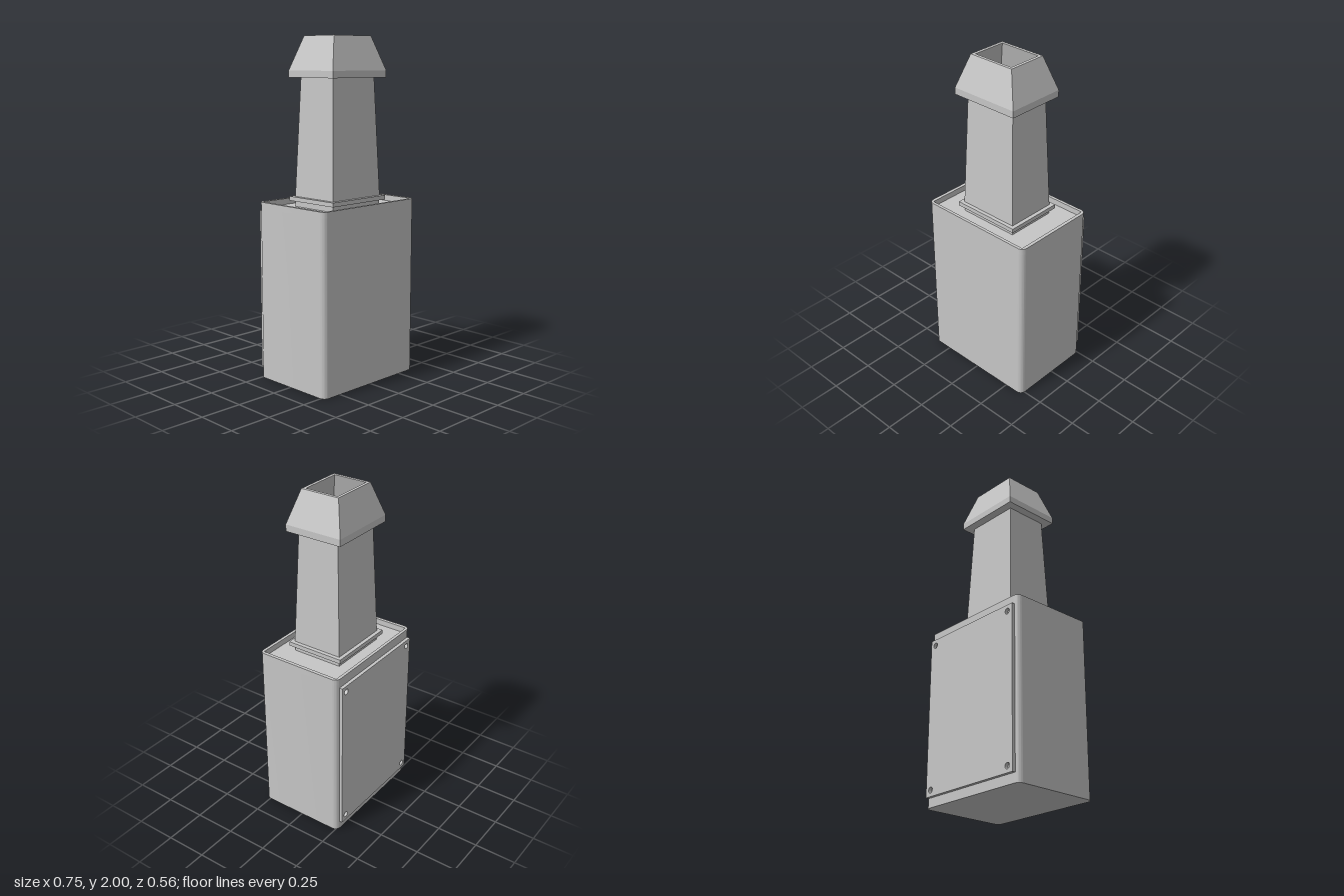
import * as THREE from 'three';
import { toCreasedNormals } from 'three/addons/utils/BufferGeometryUtils.js';

const CZ = 0.0085; // common depth centre of body and chimney

// Skin between rectangular sections [half width, half depth, y]; faces point outward while rising.
function rectLoft(sections) {
  const corners = [[1, 1], [1, -1], [-1, -1], [-1, 1]];
  const pos = [];
  const point = ([hx, hz, y], k) => [corners[k % 4][0] * hx, y, corners[k % 4][1] * hz];
  for (let i = 0; i < sections.length - 1; i++) {
    for (let k = 0; k < 4; k++) {
      const a = point(sections[i], k), b = point(sections[i], k + 1);
      const c = point(sections[i + 1], k + 1), d = point(sections[i + 1], k);
      pos.push(...a, ...b, ...c, ...a, ...c, ...d);
    }
  }
  const g = new THREE.BufferGeometry();
  g.setAttribute('position', new THREE.Float32BufferAttribute(pos, 3));
  g.computeVertexNormals();
  return g;
}

function rectPath(path, hx, hz) {
  path.moveTo(-hx, -hz).lineTo(hx, -hz).lineTo(hx, hz).lineTo(-hx, hz).closePath();
  return path;
}

function roundedRect(hx, hz, r) {
  const s = new THREE.Shape();
  s.moveTo(-hx + r, -hz).lineTo(hx - r, -hz);
  s.absarc(hx - r, -hz + r, r, -Math.PI / 2, 0);
  s.absarc(hx - r, hz - r, r, 0, Math.PI / 2);
  s.absarc(-hx + r, hz - r, r, Math.PI / 2, Math.PI);
  s.absarc(-hx + r, -hz + r, r, Math.PI, Math.PI * 1.5);
  return s;
}

// Upright prism from a plan shape
function prism(shape, y0, y1) {
  const g = new THREE.ExtrudeGeometry(shape, { depth: y1 - y0, bevelEnabled: false, curveSegments: 8 });
  g.rotateX(-Math.PI / 2).translate(0, y0, 0);
  return toCreasedNormals(g, 0.6);
}

export function createModel() {
  const model = new THREE.Group();
  model.name = 'chimneyBox';
  const grey = new THREE.MeshStandardMaterial({ color: 0xc6c6c6 });
  grey.name = 'plain grey';
  const add = (name, geometry, z = CZ) => {
    const m = new THREE.Mesh(geometry, grey);
    m.name = name;
    m.position.z = z;
    model.add(m);
    return m;
  };

  // Body with a raised rim round its sunken top
  add('body', prism(roundedRect(0.373, 0.2715, 0.035), 0, 1.02));
  const rim = roundedRect(0.373, 0.2715, 0.035);
  rim.holes.push(rectPath(new THREE.Path(), 0.353, 0.2535));
  add('bodyRim', prism(rim, 1.02, 1.055));

  // Rear cover plate with four screw holes
  const cover = rectPath(new THREE.Shape(), 0.348, 0.4725);
  for (const x of [-0.31, 0.31]) {
    for (const y of [-0.435, 0.435]) {
      cover.holes.push(new THREE.Path().absarc(x, y, 0.017, 0, Math.PI * 2, true));
    }
  }
  const coverGeo = new THREE.ExtrudeGeometry(cover, { depth: 0.02, bevelEnabled: false, curveSegments: 8 });
  add('rearCover', coverGeo, -0.283).position.y = 0.5275;

  // Neck with the flue outlet
  add('neck', rectLoft([
    [0.19, 0.156, 1.02], [0.19, 0.156, 1.056], [0.08, 0.061, 1.056], [0.08, 0.061, 1.02],
  ]));

  // Flange under the shaft
  add('flange', rectLoft([
    [0.17, 0.136, 1.055], [0.215, 0.18, 1.055], [0.215, 0.18, 1.08],
    [0.17, 0.136, 1.08], [0.17, 0.136, 1.055],
  ]));

  // Hollow tapering shaft
  add('shaft', rectLoft([
    [0.191, 0.157, 1.08], [0.166, 0.13, 1.77], [0.148, 0.112, 1.77], [0.171, 0.137, 1.08],
  ]));

  // Hollow hood with an upright lower band
  add('hood', rectLoft([
    [0.148, 0.112, 1.765], [0.215, 0.18, 1.765], [0.215, 0.18, 1.805], [0.148, 0.121, 2],
    [0.13, 0.1035, 2], [0.195, 0.16, 1.805], [0.195, 0.16, 1.785],
    [0.148, 0.112, 1.785], [0.148, 0.112, 1.765],
  ]));
  return model;
}
